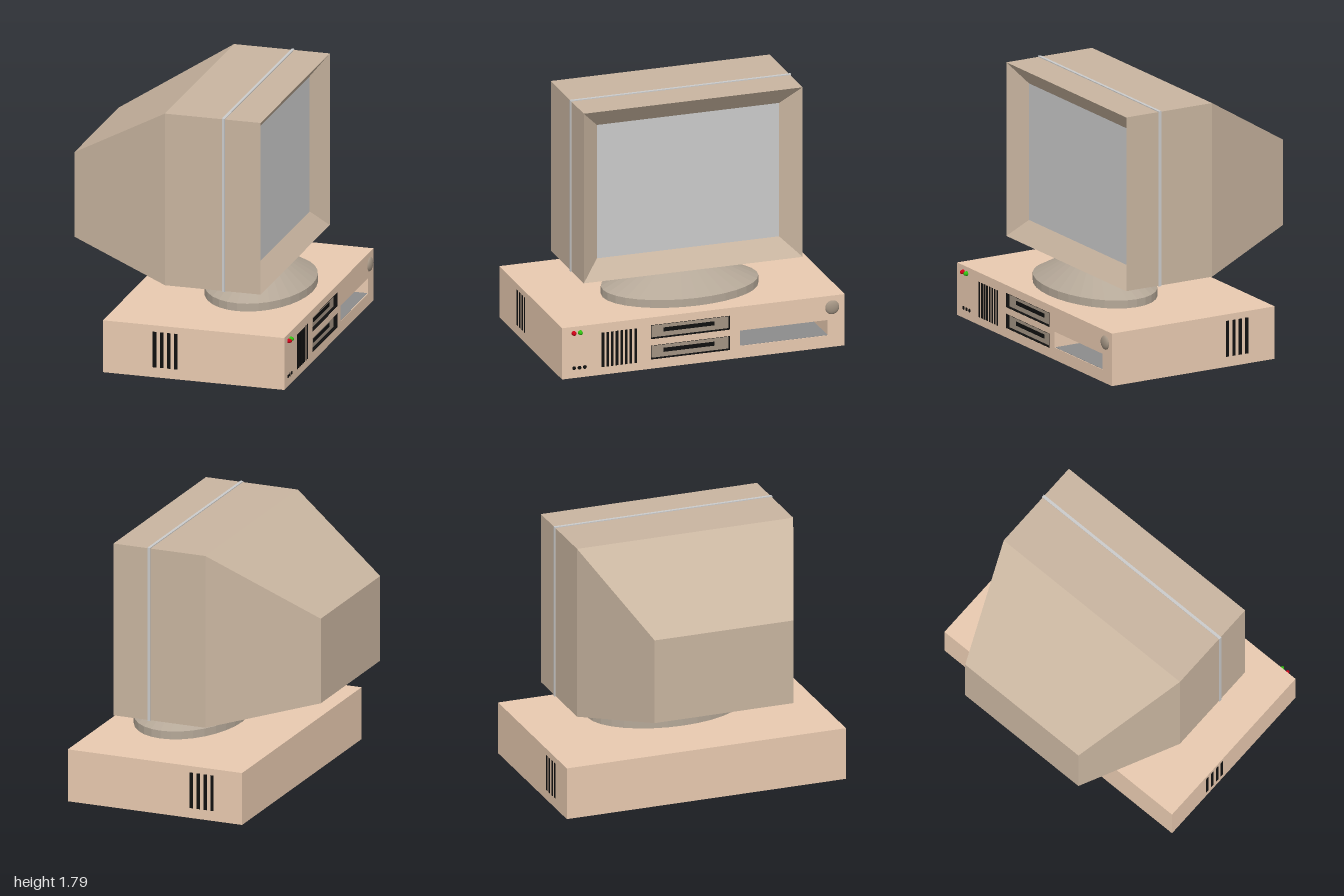
import * as THREE from 'three';

const material = (color, extra = {}) => new THREE.MeshStandardMaterial({ color, ...extra });

// Rectangle in the plane facing +x; u runs along -z, v along y
function rectPath(z0, z1, y0, y1, Type = THREE.Path) {
  const p = new Type();
  p.moveTo(-z1, y0);
  p.lineTo(-z0, y0);
  p.lineTo(-z0, y1);
  p.lineTo(-z1, y1);
  p.closePath();
  return p;
}

// Slab facing +x with rectangular openings
function slab(rect, holes, xBack, xFront) {
  const shape = rectPath(...rect, THREE.Shape);
  holes.forEach((h) => shape.holes.push(rectPath(...h)));
  const g = new THREE.ExtrudeGeometry(shape, { depth: xFront - xBack, bevelEnabled: false });
  return g.rotateY(Math.PI / 2).translate(xBack, 0, 0);
}

function box(x0, x1, y0, y1, z0, z1) {
  return new THREE.BoxGeometry(x1 - x0, y1 - y0, z1 - z0)
    .translate((x0 + x1) / 2, (y0 + y1) / 2, (z0 + z1) / 2);
}

// Skin over rectangular sections [x, z0, z1, y0, y1]
function loft(sections) {
  const pos = [];
  const rings = sections.map(([x, z0, z1, y0, y1]) =>
    [[x, y0, z1], [x, y0, z0], [x, y1, z0], [x, y1, z1]]);
  for (let i = 0; i < rings.length - 1; i++) {
    for (let j = 0; j < 4; j++) {
      const k = (j + 1) % 4;
      const a = rings[i][j], b = rings[i][k], c = rings[i + 1][k], d = rings[i + 1][j];
      pos.push(...a, ...b, ...c, ...a, ...c, ...d);
    }
  }
  const g = new THREE.BufferGeometry();
  g.setAttribute('position', new THREE.Float32BufferAttribute(pos, 3));
  g.computeVertexNormals();
  return g;
}

export function createModel() {
  const model = new THREE.Group();
  const caseMat = material(0xe9cab0);
  const shellMat = material(0xc9b5a0, { flatShading: true });
  const footMat = material(0xb5a898, { flatShading: true });
  const driveMat = material(0xa39483);
  const blackMat = material(0x101010);
  const greyMat = material(0xcccccc);

  const add = (name, geometry, mat, parent = model) => {
    const mesh = new THREE.Mesh(geometry, mat);
    mesh.name = name;
    parent.add(mesh);
    return mesh;
  };

  // Desktop case: front slab with drive and bay openings, solid behind
  const face = [-1, 1, 0, 0.365];
  const bay = [-0.88, -0.26, 0.085, 0.195];
  const drives = [[-0.19, 0.37, 0.21, 0.31], [-0.19, 0.37, 0.065, 0.165]];
  const pc = new THREE.Group();
  pc.name = 'computerCase';
  model.add(pc);
  add('caseFront', slab(face, [bay, ...drives], 0.77, 0.8), caseMat, pc);
  add('caseMiddle', slab(face, [bay], 0.5, 0.77), caseMat, pc);
  add('caseRear', box(-0.47, 0.5, 0, 0.365, -1, 1), caseMat, pc);
  add('bayFloor', box(0.5, 0.795, 0.085, 0.087, -0.88, -0.26), material(0x8c8c8c), pc);

  // Disk drives: recessed panel, dark liner and slot
  drives.forEach(([z0, z1, y0, y1]) => {
    const drive = new THREE.Group();
    drive.name = 'diskDrive';
    pc.add(drive);
    const t = 0.003;
    const mid = (y0 + y1) / 2;
    add('drivePanel', box(0.765, 0.775, y0, y1, z0, z1), driveMat, drive);
    add('driveLiner', slab([z0, z1, y0, y1], [[z0 + t, z1 - t, y0 + t, y1 - t]], 0.77, 0.799), blackMat, drive);
    add('driveSlot', box(0.77, 0.778, mid - 0.014, mid + 0.014, -0.085, 0.275), blackMat, drive);
  });

  // Ventilation slots on the front and both ends
  for (let i = 0; i < 8; i++) {
    const z = 0.48 + i * 0.033;
    add('frontVent', box(0.79, 0.802, 0.055, 0.3, z - 0.009, z + 0.009), blackMat, pc);
  }
  for (let i = 0; i < 4; i++) {
    const x = -0.108 + i * 0.05;
    add('sideVent', box(x - 0.012, x + 0.012, 0.07, 0.32, 0.99, 1.002), blackMat, pc);
    add('sideVent', box(x - 0.155, x - 0.131, 0.07, 0.32, -1.002, -0.99), blackMat, pc);
  }

  // Lights, sockets and knob
  const bead = (name, y, z, r, depth, mat) => {
    const m = add(name, new THREE.SphereGeometry(1, 20, 14), mat, pc);
    m.scale.set(depth, r, r);
    m.position.set(0.8, y, z);
  };
  bead('redLight', 0.32, 0.917, 0.016, 0.028, material(0xd00018));
  bead('greenLight', 0.32, 0.872, 0.016, 0.028, material(0x30c010));
  bead('knob', 0.282, -0.912, 0.049, 0.02, driveMat);
  [0.915, 0.877, 0.839].forEach((z) => {
    const g = new THREE.CylinderGeometry(0.013, 0.013, 0.012, 16);
    add('socket', g.rotateZ(Math.PI / 2).translate(0.797, 0.07, z), blackMat, pc);
  });

  // Oval swivel foot
  const profile = [[0, 0.365], [0.36, 0.365], [0.36, 0.42], [0.16, 0.572], [0, 0.572]]
    .map(([r, y]) => new THREE.Vector2(r, y));
  const foot = add('swivelFoot', new THREE.LatheGeometry(profile, 32), footMat);
  foot.scale.z = 1.51;
  foot.position.set(0.326, 0, 0.003);

  // Monitor housing with tapered back and sloping bezel
  const monitor = new THREE.Group();
  monitor.name = 'monitor';
  model.add(monitor);
  const rim = [0.46, -0.655, 0.635, 0.7, 1.65];
  add('housing', loft([
    [-0.83, -0.01, -0.01, 1.05, 1.05],
    [-0.83, -0.51, 0.485, 0.755, 1.35],
    [-0.11, -0.787, 0.762, 0.572, 1.78],
    [0.56, -0.787, 0.762, 0.572, 1.78],
    rim,
  ]), shellMat, monitor);
  add('screen', loft([rim, [0.46, -0.01, -0.01, 1.17, 1.17]]), greyMat, monitor);
  add('trimBand', box(0.29, 0.31, 0.568, 1.786, -0.793, 0.768), greyMat, monitor);

  return model;
}
